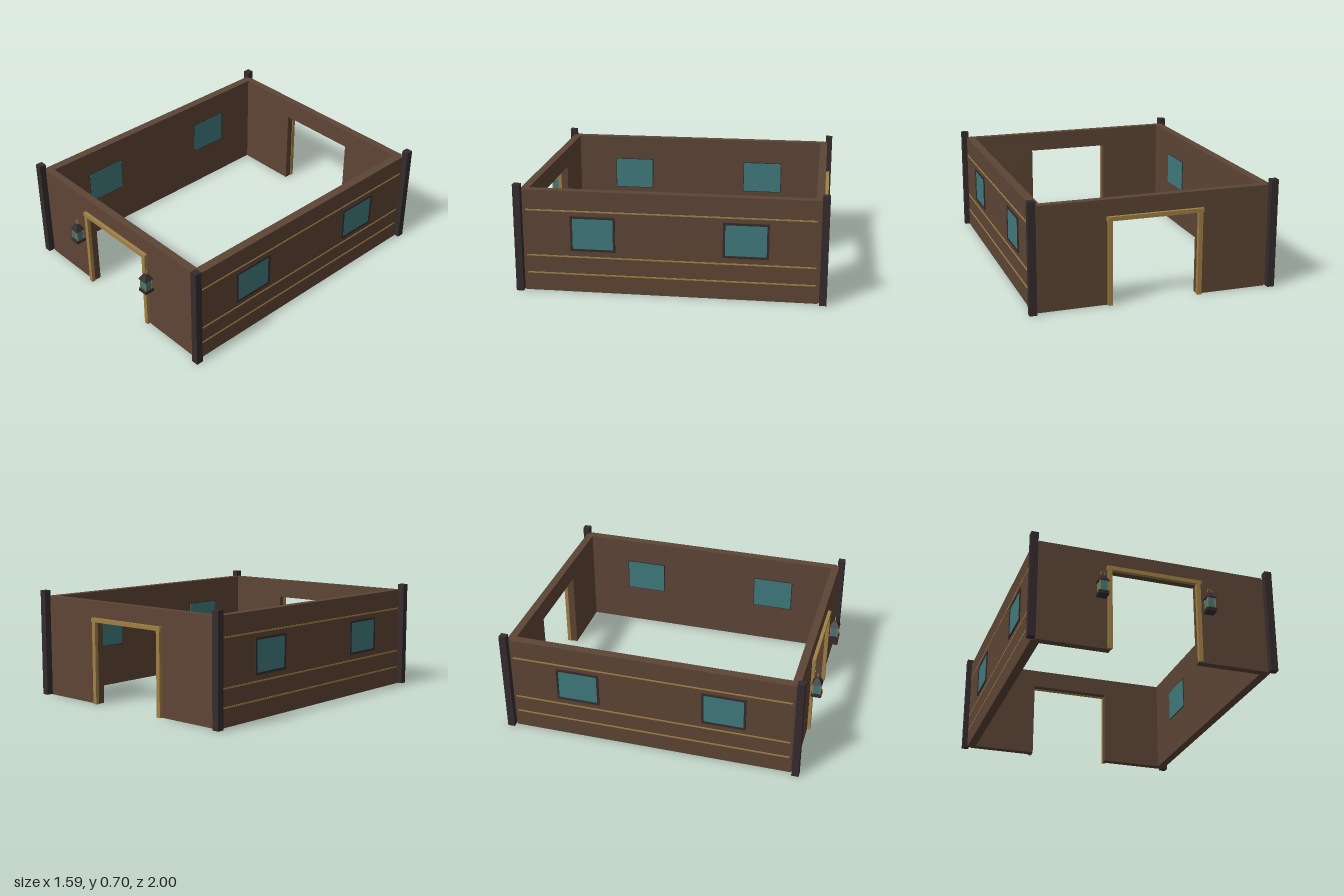
import * as THREE from 'three';

const mat = (name, color) => {
  const m = new THREE.MeshStandardMaterial({ color });
  m.name = name;
  return m;
};

export function createModel() {
  const wood = mat('brown wall', 0x5d4535);
  const dark = mat('dark timber', 0x352b2d);
  const gold = mat('golden trim', 0xa08045);
  const glass = mat('teal glass', 0x40797d);

  const model = new THREE.Group();
  model.name = 'roofless house walls';
  const CZ = -0.025; // centre of the wall ring along z

  const add = (parent, name, geometry, material, x = 0, y = 0, z = 0) => {
    const mesh = new THREE.Mesh(geometry, material);
    mesh.name = name;
    mesh.position.set(x, y, z);
    parent.add(mesh);
    return mesh;
  };
  // Box given by its minimum and maximum corners
  const box = (parent, name, material, x0, x1, y0, y1, z0, z1) =>
    add(parent, name, new THREE.BoxGeometry(x1 - x0, y1 - y0, z1 - z0), material,
      (x0 + x1) / 2, (y0 + y1) / 2, (z0 + z1) / 2);

  // End wall with a doorway, its outer face towards +z
  const endWall = (name) => {
    const g = new THREE.Group();
    g.name = name;
    const s = new THREE.Shape();
    [[-0.735, 0], [-0.28, 0], [-0.28, 0.532], [0.28, 0.532], [0.28, 0], [0.735, 0], [0.735, 0.66], [-0.735, 0.66]]
      .forEach(([x, y], i) => (i ? s.lineTo(x, y) : s.moveTo(x, y)));
    add(g, 'doorWall', new THREE.ExtrudeGeometry(s, { depth: 0.05, bevelEnabled: false }), wood, 0, 0, 0.89);
    for (const k of [-1, 1]) {
      add(g, 'doorJamb', new THREE.BoxGeometry(0.028, 0.532, 0.024), gold, k * 0.289, 0.266, 0.948);
    }
    box(g, 'doorLintel', gold, -0.308, 0.308, 0.53, 0.556, 0.936, 0.962);
    return g;
  };
  const front = endWall('frontWall');
  front.position.z = CZ;
  const back = endWall('backWall');
  back.rotation.y = Math.PI;
  back.position.z = CZ;
  model.add(front, back);

  // Framed window of a side wall, built on the +x or -x side
  const frameShape = new THREE.Shape();
  const rect = (p, w, h) => p.moveTo(-w, -h).lineTo(w, -h).lineTo(w, h).lineTo(-w, h).closePath();
  rect(frameShape, 0.142, 0.113);
  const hole = new THREE.Path();
  rect(hole, 0.128, 0.099);
  frameShape.holes.push(hole);
  const frameGeo = new THREE.ExtrudeGeometry(frameShape, { depth: 0.012, bevelEnabled: false });

  for (const k of [-1, 1]) {
    const side = new THREE.Group();
    side.name = k > 0 ? 'leftSide' : 'rightSide';
    model.add(side);
    add(side, 'sideWall', new THREE.BoxGeometry(0.056, 0.66, 1.84), wood, k * 0.734, 0.33, CZ);

    // Thin horizontal trim strips
    for (const y of [0.118, 0.233, 0.531]) {
      add(side, 'trimStrip', new THREE.BoxGeometry(0.006, 0.009, 1.81), gold, k * 0.763, y, CZ);
    }

    for (const z of [0.456, -0.499]) {
      const frame = add(side, 'windowFrame', frameGeo, dark, k * 0.757, 0.386, z);
      frame.rotation.y = k * Math.PI / 2;
      add(side, 'windowPane', new THREE.BoxGeometry(0.006, 0.2, 0.258), glass, k * 0.762, 0.386, z);
      add(side, 'innerFrame', new THREE.BoxGeometry(0.006, 0.222, 0.28), dark, k * 0.705, 0.386, z);
      add(side, 'innerPane', new THREE.BoxGeometry(0.004, 0.212, 0.27), glass, k * 0.7015, 0.386, z);
    }

    // Corner posts and the wall joints behind them
    for (const e of [-1, 1]) {
      add(side, 'cornerJoint', new THREE.BoxGeometry(0.04, 0.658, 0.04), wood, k * 0.731, 0.33, CZ + e * 0.912);
      add(side, 'cornerPost', new THREE.BoxGeometry(0.046, 0.697, 0.046), dark, k * 0.77, 0.3485, CZ + e * 0.952);
    }

    // Hanging lantern beside the front door
    const lantern = new THREE.Group();
    lantern.name = 'lantern';
    lantern.position.set(k * 0.348, 0, 0.965);
    model.add(lantern);
    box(lantern, 'lanternBase', dark, -0.033, 0.033, 0.325, 0.346, -0.033, 0.033);
    box(lantern, 'lanternGlass', glass, -0.023, 0.023, 0.346, 0.42, -0.023, 0.023);
    for (const x of [-1, 1]) for (const z of [-1, 1]) {
      add(lantern, 'lanternBar', new THREE.BoxGeometry(0.006, 0.074, 0.006), gold, x * 0.024, 0.383, z * 0.024);
    }
    const roofGeo = new THREE.CylinderGeometry(0.014, 0.048, 0.042, 4).toNonIndexed();
    roofGeo.computeVertexNormals();
    add(lantern, 'lanternRoof', roofGeo, dark, 0, 0.438, 0).rotation.y = Math.PI / 4;
    add(lantern, 'lanternRing', new THREE.TorusGeometry(0.014, 0.0025, 6, 14), gold, 0, 0.473, 0);
  }

  return model;
}
